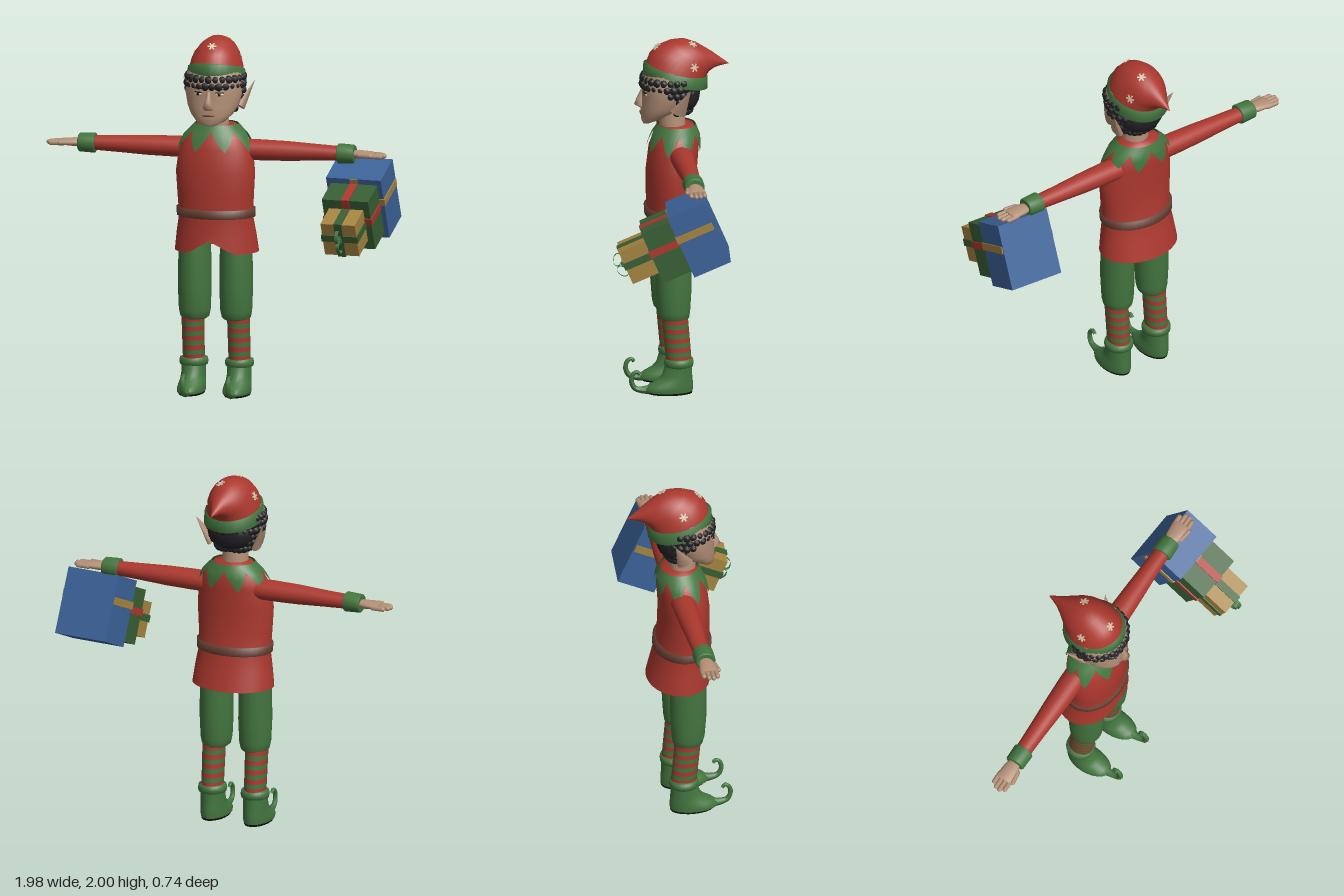
import * as THREE from 'three';
import { mergeGeometries } from 'three/addons/utils/BufferGeometryUtils.js';

const paint = (name, color, side = THREE.FrontSide) => {
  const m = new THREE.MeshStandardMaterial({ color, side });
  m.name = name;
  return m;
};

// Skin over elliptical rings; a ring is [front z, front y, back z, back y, half width]
function loft(rings, { n = 24, caps = true, warp } = {}) {
  const pos = [], idx = [];
  const ring = (r, i) => {
    const [zf, yf, zb, yb, rx] = r;
    for (let j = 0; j < n; j++) {
      const a = (j / n) * Math.PI * 2, c = Math.cos(a) / 2;
      const v = new THREE.Vector3(rx * Math.sin(a), (yf + yb) / 2 + c * (yf - yb), (zf + zb) / 2 + c * (zf - zb));
      if (warp) warp(v, i, a);
      pos.push(v.x, v.y, v.z);
    }
  };
  rings.forEach(ring);
  for (let i = 0; i < rings.length - 1; i++) for (let j = 0; j < n; j++) {
    const a = i * n + j, b = i * n + (j + 1) % n;
    idx.push(a, b, b + n, a, b + n, a + n);
  }
  if (caps) [0, rings.length - 1].forEach((i) => {
    const s = pos.length / 3, r = rings[i];
    ring(r, i);
    pos.push(0, (r[1] + r[3]) / 2, (r[0] + r[2]) / 2);
    for (let j = 0; j < n; j++) {
      const a = s + j, b = s + (j + 1) % n;
      i ? idx.push(a, b, s + n) : idx.push(b, a, s + n);
    }
  });
  const g = new THREE.BufferGeometry();
  g.setAttribute('position', new THREE.Float32BufferAttribute(pos, 3));
  g.setIndex(idx);
  g.computeVertexNormals();
  return g;
}
// Level ring from [y, half width, front z, back z]
const level = ([y, rx, zf, zb]) => [zf, y, zb, y, rx];
const levels = (rows, opts) => loft(rows.map(level), opts);

export function createModel() {
  const red = paint('red cloth', 0xab382e, THREE.DoubleSide), green = paint('green cloth', 0x43753f, THREE.DoubleSide);
  const skin = paint('skin', 0xb39077), hair = paint('hair', 0x222225), brown = paint('belt brown', 0x6c4336);
  const blue = paint('gift blue', 0x3c6399), gold = paint('gift gold', 0xa5843f), giftGreen = paint('gift green', 0x385f34);
  const cream = paint('cream', 0xd8c3a6), black = paint('black', 0x141414);

  const root = new THREE.Group(), elf = new THREE.Group();
  elf.name = 'figure';
  elf.position.x = -0.013;
  root.add(elf);
  const add = (parent, name, geo, mat, x = 0, y = 0, z = 0) => {
    const m = new THREE.Mesh(geo, mat);
    m.name = name;
    m.position.set(x, y, z);
    parent.add(m);
    return m;
  };
  const blob = (name, mat, p, s) => {
    const m = add(elf, name, new THREE.SphereGeometry(1, 14, 10), mat, ...p);
    m.scale.set(...s);
    return m;
  };

  // Tunic with a notch in the front hem
  const body = [[0.8, 0.236, 0.08, -0.275], [0.9, 0.224, 0.075, -0.25], [1.0, 0.208, 0.07, -0.225], [1.12, 0.215, 0.075, -0.21],
    [1.25, 0.223, 0.075, -0.205], [1.38, 0.207, 0.06, -0.215], [1.45, 0.17, 0.035, -0.212], [1.51, 0.11, 0, -0.188], [1.515, 0.05, -0.03, -0.12]];
  const bodyAt = (y) => {
    let k = 0;
    while (k < body.length - 2 && body[k + 1][0] < y) k++;
    const t = (y - body[k][0]) / (body[k + 1][0] - body[k][0]);
    return body[k].map((v, q) => v + (body[k + 1][q] - v) * t);
  };
  add(elf, 'tunic', levels(body, { n: 40, caps: false, warp: (v, i, a) => {
    if (i === 0) v.y += 0.075 * Math.max(0, 1 - Math.min(a, Math.PI * 2 - a) / 0.6);
  } }), red);
  add(elf, 'belt', levels([[0.998, 0.2, 0.06, -0.215], [0.998, 0.22, 0.084, -0.238], [1.046, 0.222, 0.086, -0.234], [1.046, 0.2, 0.06, -0.21]],
    { n: 40, caps: false }), brown);

  // Collar with eight points, following the shoulders
  add(elf, 'collar', loft([0, 1, 2, 3, 4, 5].map(() => [0, 0, 0, 0, 0]), { n: 64, caps: false, warp: (v, i, a) => {
    const f = (a / (Math.PI / 4)) % 1, hem = 1.475 - 0.11 * (1 - Math.abs(2 * f - 1));
    const y = hem + (1.51 - hem) * i / 5, [, rx, zf, zb] = bodyAt(y);
    v.set((rx + 0.012) * Math.sin(a), y + 0.004, (zf + zb) / 2 + ((zf - zb) / 2 + 0.012) * Math.cos(a));
  } }), green);

  // Neck, head and nose
  add(elf, 'neck', levels([[1.48, 0.075, 0, -0.145], [1.6, 0.068, 0.005, -0.14]]), skin);
  add(elf, 'head', loft([[0.092, 1.523, 0.02, 1.545, 0.045], [0.101, 1.54, -0.02, 1.565, 0.085], [0.106, 1.58, -0.08, 1.595, 0.12],
    [0.104, 1.63, -0.13, 1.63, 0.143], [0.1, 1.7, -0.165, 1.7, 0.16], [0.104, 1.78, -0.19, 1.77, 0.163], [0.07, 1.85, -0.19, 1.83, 0.145]], { n: 32 }), skin);
  add(elf, 'nose', levels([[1.612, 0.028, 0.106, 0.07], [1.632, 0.031, 0.142, 0.07], [1.665, 0.018, 0.13, 0.07], [1.72, 0.012, 0.104, 0.07]], { n: 12 }), skin);
  blob('mouth', brown, [0, 1.584, 0.104], [0.036, 0.006, 0.007]);

  for (const s of [-1, 1]) {
    // Eyes and brows
    const yaw = s * 0.35;
    blob('eye', cream, [s * 0.062, 1.703, 0.088], [0.025, 0.009, 0.006]).rotation.y = yaw;
    blob('iris', black, [s * 0.06, 1.704, 0.091], [0.01, 0.009, 0.006]).rotation.y = yaw;
    blob('eyelid', black, [s * 0.062, 1.713, 0.089], [0.027, 0.004, 0.007]).rotation.y = yaw;
    blob('brow', hair, [s * 0.065, 1.737, 0.088], [0.034, 0.006, 0.007]).rotation.y = yaw;

    // Pointed ear
    const base = new THREE.Vector3(s * 0.138, 1.61, -0.085), tip = new THREE.Vector3(s * 0.205, 1.757, -0.15);
    const dir = tip.clone().sub(base), mid = base.clone().add(tip).multiplyScalar(0.5);
    const ear = add(elf, 'ear', new THREE.ConeGeometry(0.046, dir.length(), 10), skin, mid.x, mid.y, mid.z);
    ear.quaternion.setFromUnitVectors(new THREE.Vector3(0, 1, 0), dir.normalize());
    ear.scale.x = 0.5;

    // Arm, laid out along local y and turned sideways
    const arm = new THREE.Group();
    arm.name = s > 0 ? 'leftArm' : 'rightArm';
    arm.position.y = 1.37;
    arm.rotation.z = -s * Math.PI / 2;
    elf.add(arm);
    add(arm, 'sleeve', levels([[0.1, 0.058, -0.035, -0.168], [0.25, 0.058, -0.036, -0.166], [0.4, 0.055, -0.042, -0.16],
      [0.55, 0.047, -0.05, -0.152], [0.7, 0.04, -0.055, -0.146]]), red);
    add(arm, 'cuff', levels([[0.69, 0.05, -0.045, -0.15], [0.695, 0.056, -0.04, -0.156], [0.78, 0.052, -0.042, -0.154], [0.786, 0.046, -0.048, -0.148]]), green);
    add(arm, 'palm', levels([[0.77, 0.022, -0.07, -0.13], [0.81, 0.024, -0.055, -0.142], [0.88, 0.018, -0.048, -0.148], [0.9, 0.012, -0.052, -0.146]]), skin);
    [0.07, 0.085, 0.08, 0.06].forEach((len, k) =>
      add(arm, 'finger', new THREE.CapsuleGeometry(0.0135, len, 4, 8), skin, s * 0.004, 0.87 + len / 2, -0.061 - k * 0.025));
    add(arm, 'thumb', new THREE.CapsuleGeometry(0.013, 0.065, 4, 8), skin, 0, 0.852, -0.05).rotation.x = 0.15;

    // Leg with baggy breeches and striped sock
    const leg = new THREE.Group();
    leg.name = s > 0 ? 'leftLeg' : 'rightLeg';
    leg.position.x = s * 0.13;
    elf.add(leg);
    add(leg, 'breeches', levels([[0.42, 0.066, 0.005, -0.14], [0.432, 0.08, 0.018, -0.15], [0.47, 0.088, 0.028, -0.156], [0.6, 0.093, 0.038, -0.164],
      [0.8, 0.09, 0.038, -0.165], [0.95, 0.085, 0.03, -0.165]]), green, -s * 0.012);
    const sockRow = (t) => [0.19 + 0.24 * t, 0.06 + 0.003 * t, -0.018 + 0.022 * t, -0.162 + 0.02 * t];
    for (let k = 0; k < 9; k++)
      add(leg, 'sockStripe', levels([sockRow(k / 9), sockRow((k + 1) / 9)], { caps: false }), k % 2 ? green : red);

    // Boot with black sole and curled toe
    add(leg, 'bootCuff', levels([[0.152, 0.066, -0.02, -0.16], [0.157, 0.077, -0.012, -0.17], [0.175, 0.081, -0.008, -0.173],
      [0.195, 0.077, -0.012, -0.17], [0.2, 0.06, -0.025, -0.155]]), green);
    add(leg, 'boot', levels([[0.012, 0.074, 0.095, -0.168], [0.03, 0.077, 0.1, -0.17], [0.052, 0.074, 0.075, -0.17], [0.075, 0.07, 0.03, -0.168],
      [0.105, 0.067, 0.002, -0.165], [0.165, 0.066, -0.015, -0.165]]), green);
    add(leg, 'sole', levels([[0, 0.068, 0.08, -0.165], [0.012, 0.072, 0.088, -0.168]]), black);
    const curl = new THREE.CatmullRomCurve3([[0.026, 0.05], [0.022, 0.11], [0.035, 0.155], [0.075, 0.173], [0.115, 0.163], [0.127, 0.14], [0.112, 0.127]]
      .map(([y, z]) => new THREE.Vector3(0, y, z)));
    const toe = new THREE.TubeGeometry(curl, 24, 0.03, 8), p = toe.attributes.position, v = new THREE.Vector3();
    for (let i = 0; i < p.count; i++) {
      const t = Math.floor(i / 9) / 24, c = curl.getPointAt(t);
      v.fromBufferAttribute(p, i).sub(c).multiplyScalar(t < 0.4 ? 1 - 1.2 * t : 0.52 - 0.3 * (t - 0.4)).add(c);
      p.setXYZ(i, v.x, v.y, v.z);
    }
    toe.computeVertexNormals();
    add(leg, 'curledToe', toe, green);
  }

  // Curly hair: a fringe in front, a full mass behind
  blob('hairMass', hair, [0, 1.69, -0.125], [0.138, 0.11, 0.098]);
  const curls = [];
  for (let k = 0; k < 6; k++) for (let j = 0; j < 26; j++) {
    const a = ((j + (k % 2) / 2) / 26) * Math.PI * 2, d = Math.min(a, Math.PI * 2 - a);
    const y = 1.782 - 0.036 * k, low = d < 1.25 ? 1.745 : d < 1.8 ? 1.7 : 1.585;
    if (y < low) continue;
    const f = 1 - (d > 1.8 ? 0.012 * k * k : 0);
    const c = new THREE.SphereGeometry(0.024 + 0.003 * Math.sin(j * 5 + k * 3), 8, 6);
    curls.push(c.translate(0.152 * f * Math.sin(a), y, -0.06 + 0.15 * f * Math.cos(a)));
  }
  add(elf, 'curls', mergeGeometries(curls), hair);

  // Hat swept back to a point, with a tilted band
  const hat = add(elf, 'hat', loft([[0.075, 1.865, -0.255, 1.78, 0.15], [0.055, 1.92, -0.262, 1.793, 0.142], [0.01, 1.965, -0.27, 1.805, 0.127],
    [-0.06, 1.993, -0.28, 1.815, 0.112], [-0.13, 2, -0.29, 1.822, 0.092], [-0.2, 1.977, -0.305, 1.83, 0.066],
    [-0.285, 1.925, -0.33, 1.838, 0.035], [-0.383, 1.852, -0.383, 1.848, 0.002]], { n: 32 }), red);
  add(elf, 'hatBand', loft([[0.07, 1.8, -0.245, 1.725, 0.148], [0.092, 1.8, -0.266, 1.72, 0.166], [0.09, 1.868, -0.266, 1.785, 0.157],
    [0.06, 1.875, -0.245, 1.79, 0.135]], { n: 32, caps: false }), green);

  // Snowflakes set flat on the hat
  hat.updateMatrixWorld(true);
  const heart = new THREE.Vector3(0, 1.88, -0.12);
  for (const at of [[0, 1.957, 0.015], [0.11, 1.865, -0.175], [0.043, 1.985, -0.185], [-0.125, 1.9, -0.09]]) {
    const out = new THREE.Vector3(...at).sub(heart).normalize();
    const hit = new THREE.Raycaster(heart.clone().addScaledVector(out, 1), out.clone().negate()).intersectObject(hat)[0];
    if (!hit) continue;
    const flake = new THREE.Group();
    flake.name = 'snowflake';
    flake.position.copy(hit.point);
    flake.lookAt(hit.point.clone().add(hit.face.normal));
    for (let k = 0; k < 3; k++)
      add(flake, 'flakeBar', new THREE.BoxGeometry(0.05, 0.009, 0.008), cream).rotation.z = k * Math.PI / 3;
    elf.add(flake);
  }

  // Stack of three gifts hanging from the left hand
  const gifts = new THREE.Group();
  gifts.name = 'gifts';
  gifts.position.set(0.82, 1.13, -0.11);
  gifts.rotation.set(0.41, -0.085, 0, 'YXZ');
  root.add(gifts);
  const box = (name, mat, w, h, d, x, y, z) => add(gifts, name, new THREE.BoxGeometry(w, h, d), mat, x, y, z);
  box('largeGift', blue, 0.32, 0.375, 0.22, 0, 0, 0);
  box('largeRibbonAround', gold, 0.332, 0.042, 0.219, 0, 0.045, 0.006);
  box('largeRibbonFront', gold, 0.045, 0.374, 0.009, 0, 0, 0.111);
  for (const [name, mat, tie, w, h, d, z, up] of [['mediumGift', giftGreen, red, 0.27, 0.31, 0.17, 0.195, 0.025], ['smallGift', gold, giftGreen, 0.2, 0.2, 0.16, 0.36, 0.008]]) {
    box(name, mat, w, h, d, 0, 0, z);
    box(name + 'RibbonAround', tie, w + 0.012, 0.04, d + 0.012, 0, up, z);
    box(name + 'RibbonOver', tie, 0.045, h + 0.012, d + 0.012, 0, 0, z);
  }
  // Bow of two thin ribbon loops
  box('bowKnot', green, 0.025, 0.025, 0.02, 0, 0, 0.452);
  for (const s of [-1, 1]) {
    const loop = add(gifts, 'bowLoop', new THREE.CylinderGeometry(0.024, 0.024, 0.02, 16, 1, true), green, 0, s * 0.036, 0.47);
    loop.rotation.set(-s * 0.5, 0, Math.PI / 2);
    loop.scale.x = 1.5;
  }
  return root;
}
